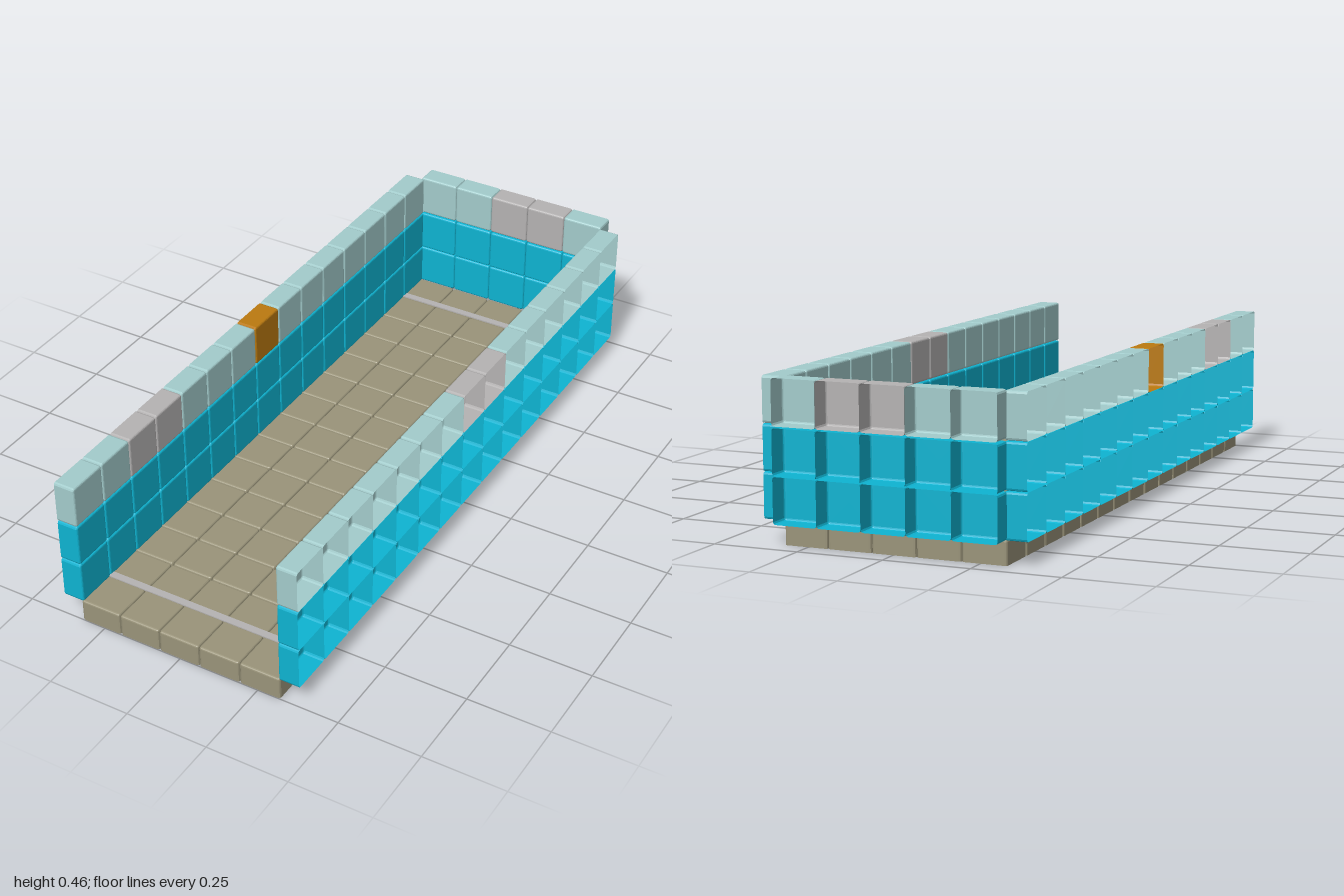
import * as THREE from 'three';

const material = (color) => new THREE.MeshStandardMaterial({ color, flatShading: true, side: THREE.DoubleSide });

// Hollow tile: rounded-square shell, softened face at z = 0, open at z = -depth
function tileGeometry(size, depth) {
  const half = size / 2, radius = 0.007, bevel = 0.006, arc = 3;
  const rings = [[0, -depth], [0, -bevel]];
  for (let s = 1; s <= 3; s++) {
    const a = (s / 3) * Math.PI / 2;
    rings.push([bevel * (1 - Math.cos(a)), -bevel * (1 - Math.sin(a))]);
  }
  const pos = [], index = [];
  for (const [inset, z] of rings) {
    for (let c = 0; c < 4; c++) {
      const start = c * Math.PI / 2;
      const cx = (half - radius) * Math.SQRT2 * Math.cos(start + Math.PI / 4);
      const cy = (half - radius) * Math.SQRT2 * Math.sin(start + Math.PI / 4);
      for (let k = 0; k < arc; k++) {
        const a = start + (k / (arc - 1)) * Math.PI / 2;
        pos.push(cx + (radius - inset) * Math.cos(a), cy + (radius - inset) * Math.sin(a), z);
      }
    }
  }
  const n = 4 * arc, last = (rings.length - 1) * n;
  for (let r = 0; r < rings.length - 1; r++) {
    for (let i = 0; i < n; i++) {
      const a = r * n + i, b = r * n + (i + 1) % n;
      index.push(a, b, b + n, a, b + n, a + n);
    }
  }
  pos.push(0, 0, 0);
  for (let i = 0; i < n; i++) index.push(last + i, last + (i + 1) % n, last + n);
  const geo = new THREE.BufferGeometry();
  geo.setAttribute('position', new THREE.Float32BufferAttribute(pos, 3));
  geo.setIndex(index);
  geo.computeVertexNormals();
  return geo;
}

export function createModel() {
  const model = new THREE.Group();
  const blue = material(0x0eb4d2), pale = material(0xa3cccc), sand = material(0x9a947a);
  const grey = material(0xb5b3b3), orange = material(0xbb7a10);

  const pitch = 0.1293, rows = 15, cols = 5, zBack = -0.94;
  const rowZ = (i) => zBack + (i + 0.5) * pitch;
  const colX = (i) => -0.0025 + (i - 2) * pitch;
  const levelY = (l) => 0.13 + l * 0.13;
  const floorTile = tileGeometry(0.1275, 0.068);
  const wallTile = tileGeometry(0.1285, 0.064);

  const group = (name) => {
    const g = new THREE.Group();
    g.name = name;
    model.add(g);
    return g;
  };
  const addTile = (parent, name, geo, mat, x, y, z, rx, ry) => {
    const mesh = new THREE.Mesh(geo, mat);
    mesh.name = name;
    mesh.position.set(x, y, z);
    mesh.rotation.set(rx, ry, 0);
    parent.add(mesh);
  };

  // Floor, hollow side down
  const floor = group('floor');
  for (let r = 0; r < rows; r++) {
    for (let c = 0; c < cols; c++) {
      addTile(floor, 'floorTile', floorTile, sand, colX(c), 0.068, rowZ(r), -Math.PI / 2, 0);
    }
  }

  // Long side walls, faces inward and hollows outward; accents replace pale top tiles
  const walls = [
    { name: 'leftWall', side: 1, accents: { 6: grey, 7: grey } },
    { name: 'rightWall', side: -1, accents: { 7: orange, 11: grey, 12: grey } },
  ];
  for (const { name, side, accents } of walls) {
    const wall = group(name);
    for (let l = 0; l < 3; l++) {
      for (let r = 0; r < rows; r++) {
        const mat = l < 2 ? blue : accents[r] || pale;
        addTile(wall, 'wallTile', wallTile, mat, side * 0.317, levelY(l), rowZ(r), 0, -side * Math.PI / 2);
      }
    }
  }

  // Back wall, hollows outward
  const backWall = group('backWall');
  for (let l = 0; l < 3; l++) {
    for (let c = 0; c < cols; c++) {
      const mat = l < 2 ? blue : c === 2 || c === 3 ? grey : pale;
      addTile(backWall, 'backWallTile', wallTile, mat, colX(c), levelY(l) + (l === 2 ? 0.004 : 0.001), -0.936, 0, 0);
    }
  }

  // Pale lane lines across the floor near both ends
  for (const z of [-0.82, 0.865]) {
    const line = new THREE.Mesh(new THREE.BoxGeometry(0.64, 0.004, 0.022), grey);
    line.name = 'floorLine';
    line.position.set(-0.0025, 0.069, z);
    model.add(line);
  }
  return model;
}
